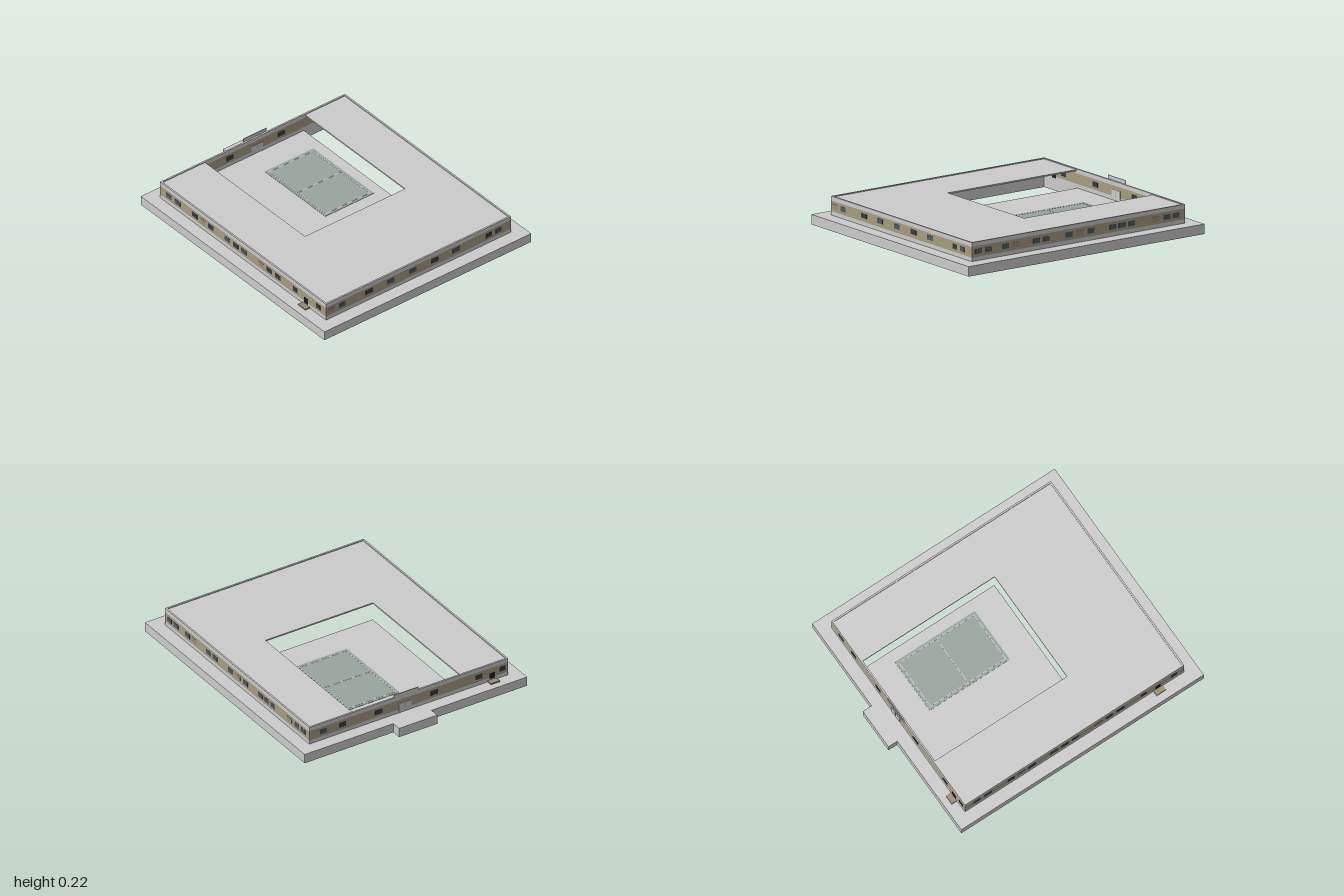
import * as THREE from 'three';

const mat = (color) => new THREE.MeshStandardMaterial({ color, side: THREE.DoubleSide });
const grey = mat(0xcccccc), olive = mat(0xa89c80), glass = mat(0x4a5a62), darkGlass = mat(0x363c44);
const tan = mat(0x9c8c74), black = mat(0x1c1a20), court = mat(0x98a49e), line = mat(0xd0d6d2);

// Building footprint and main levels
const X0 = -0.84, X1 = 0.905, Z = 0.78, T = 0.012;
const GROUND = 0.068, TOP = 0.197;

function box(parent, name, material, x0, x1, y0, y1, z0, z1) {
  const mesh = new THREE.Mesh(new THREE.BoxGeometry(x1 - x0, y1 - y0, z1 - z0), material);
  mesh.position.set((x0 + x1) / 2, (y0 + y1) / 2, (z0 + z1) / 2);
  mesh.name = name;
  parent.add(mesh);
  return mesh;
}

// Horizontal plate from an [x, z] outline with an optional rectangular hole
function plate(parent, name, outline, hole, y0, y1) {
  const toPoints = (list) => list.map(([x, z]) => new THREE.Vector2(x, -z));
  const shape = new THREE.Shape(toPoints(outline));
  if (hole) shape.holes.push(new THREE.Path(toPoints(hole)));
  const geometry = new THREE.ExtrudeGeometry(shape, { depth: y1 - y0, bevelEnabled: false });
  geometry.rotateX(-Math.PI / 2);
  const mesh = new THREE.Mesh(geometry, grey);
  mesh.position.y = y0;
  mesh.name = name;
  parent.add(mesh);
}

const rect = (x0, x1, z0, z1) => [[x0, z0], [x1, z0], [x1, z1], [x0, z1]];

// Four thin walls around the footprint, one horizontal course
function wallCourse(parent, name, material, y0, y1) {
  const g = new THREE.Group();
  g.name = name;
  box(g, 'frontWall', material, X0, X1, y0, y1, Z - T, Z);
  box(g, 'backWall', material, X0, X1, y0, y1, -Z, -Z + T);
  box(g, 'leftWall', material, X1 - T, X1, y0, y1, -Z + T, Z - T);
  box(g, 'rightWall', material, X0, X0 + T, y0, y1, -Z + T, Z - T);
  parent.add(g);
}

// Panels set through a wall; each entry is [position, material, width, y0, y1]
function openings(parent, name, side, entries) {
  const g = new THREE.Group();
  g.name = name;
  const e = 0.002;
  for (const [p, material = glass, w = 0.056, y0 = 0.115, y1 = 0.148] of entries) {
    const a = p - w / 2, b = p + w / 2;
    const label = y0 < 0.1 ? 'door' : 'window';
    if (side === 'front') box(g, label, material, a, b, y0, y1, Z - T - e, Z + e);
    if (side === 'back') box(g, label, material, a, b, y0, y1, -Z - e, -Z + T + e);
    if (side === 'left') box(g, label, material, X1 - T - e, X1 + e, y0, y1, a, b);
    if (side === 'right') box(g, label, material, X0 - e, X0 + T + e, y0, y1, a, b);
  }
  parent.add(g);
}

export function createModel() {
  const model = new THREE.Group();
  model.name = 'courtyardBuilding';

  // Ground apron: a ring under the walls with an entrance platform
  plate(model, 'groundApron', [
    [-0.93, -0.875], [1, -0.875], [1, 0.87], [-0.93, 0.87],
    [-0.93, 0.12], [-1, 0.12], [-1, -0.18], [-0.93, -0.18],
  ], rect(X0 + T, X1 - T, -Z + T, Z - T), 0, GROUND);

  // Walls in three courses with a coloured middle band
  wallCourse(model, 'wallBase', grey, GROUND, 0.095);
  wallCourse(model, 'wallBand', olive, 0.095, 0.168);
  wallCourse(model, 'parapet', grey, 0.168, TOP);

  // Flat roof with the courtyard opening reaching the right wall
  plate(model, 'roof', [
    [X0 + T, -Z + T], [X1 - T, -Z + T], [X1 - T, Z - T], [X0 + T, Z - T],
    [X0 + T, 0.41], [0.223, 0.41], [0.223, -0.435], [X0 + T, -0.435],
  ], null, 0.181, 0.191);

  // Courtyard floor and sports court
  box(model, 'courtyardFloor', grey, X0 + T, 0.213, 0.058, GROUND, -0.425, 0.4);
  box(model, 'sportsCourt', court, -0.632, 0.005, GROUND, 0.07, -0.347, 0.063);
  const lines = new THREE.Group();
  lines.name = 'courtLines';
  for (const x of [-0.612, -0.314, -0.016]) {
    box(lines, 'crossLine', line, x - 0.002, x + 0.002, 0.07, 0.071, -0.327, 0.043);
  }
  for (const z of [-0.327, 0.043]) {
    box(lines, 'sideLine', line, -0.612, -0.016, 0.07, 0.071, z - 0.002, z + 0.002);
  }
  model.add(lines);

  // Windows and doors
  openings(model, 'frontOpenings', 'front', [
    [-0.745], [-0.655], [-0.475, darkGlass], [-0.39, tan], [-0.305, darkGlass], [-0.13],
    [-0.045, darkGlass], [0.04], [0.225, tan], [0.31, darkGlass], [0.4, darkGlass],
    [0.583, darkGlass, 0.046], [0.823, darkGlass, 0.046], [0.696, black, 0.042, 0.085, 0.127],
  ]);
  openings(model, 'leftOpenings', 'left', [
    [0.735, tan], [0.645, glass, 0.052], [0.415, darkGlass, 0.062, 0.12, 0.152],
    [0.235, glass, 0.062, 0.12, 0.152], [0.05, glass, 0.062, 0.12, 0.152],
    [-0.135, darkGlass, 0.062, 0.12, 0.152], [-0.32, glass, 0.062, 0.12, 0.152],
    [-0.595, darkGlass, 0.048], [-0.675, glass, 0.048],
  ]);
  openings(model, 'backOpenings', 'back', [
    [0.85], [0.77], [0.63], [0.55, tan], [0.375], [0.3], [0.11], [0.02, tan], [-0.07],
    [-0.25], [-0.325], [-0.4], [-0.6, tan], [-0.69], [-0.765],
  ]);
  openings(model, 'rightOpenings', 'right', [
    [-0.67], [-0.52, darkGlass], [-0.235, darkGlass], [0.2, darkGlass], [0.55, darkGlass],
    [0.735, darkGlass, 0.046], [0.655, black, 0.042, 0.085, 0.127],
    [-0.056, grey, 0.046, 0.07, 0.14], [-0.004, grey, 0.046, 0.07, 0.14],
  ]);

  // Door steps
  box(model, 'frontStep', tan, 0.66, 0.735, GROUND, 0.077, Z, 0.818);
  box(model, 'rightStep', tan, -0.882, X0, GROUND, 0.077, 0.618, 0.688);

  // Plain sign board above the entrance
  box(model, 'signBoard', grey, X0 - 0.005, X0, TOP - 0.004, 0.222, -0.12, 0.075);
  return model;
}
